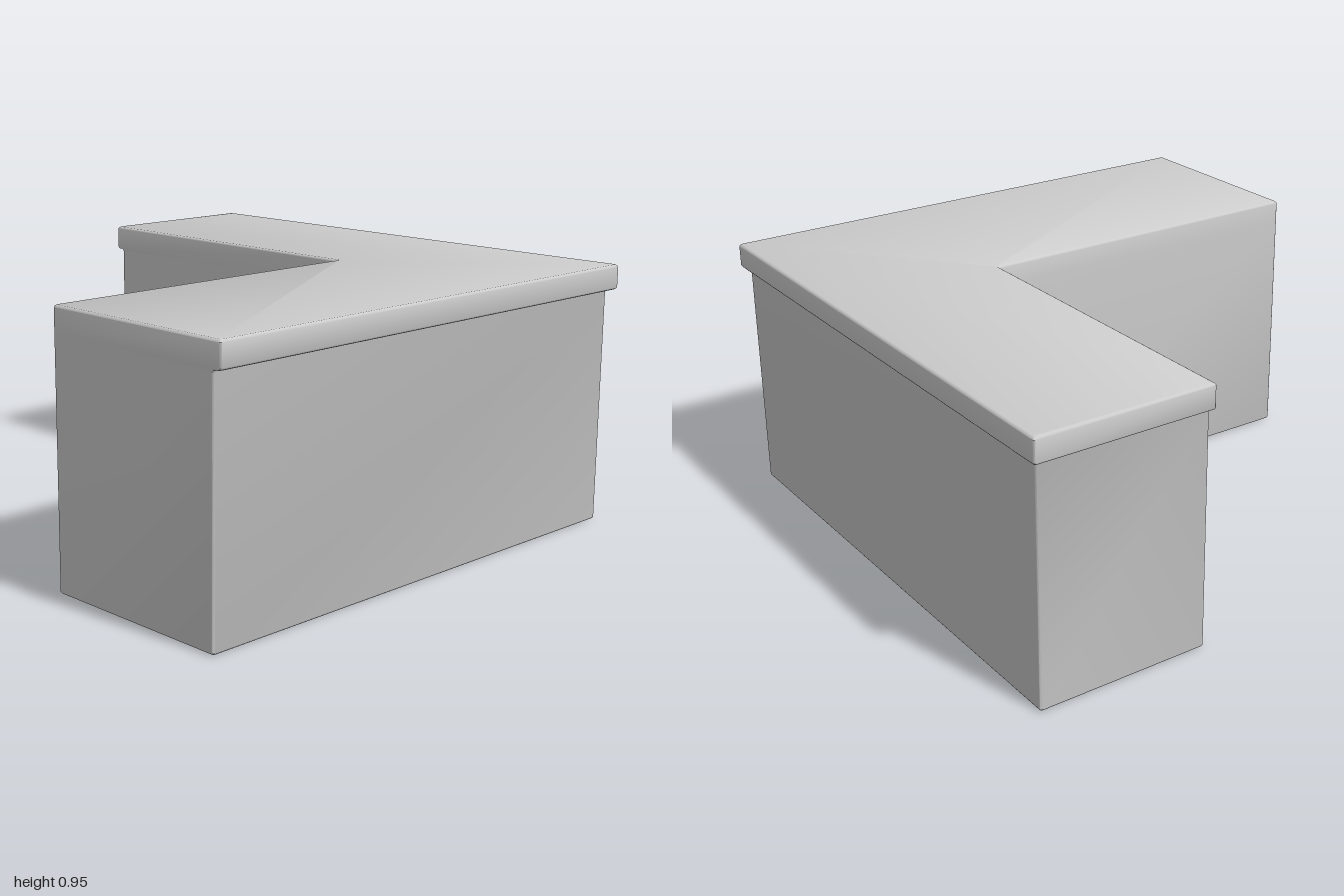
import * as THREE from 'three';
import { toCreasedNormals } from 'three/addons/utils/BufferGeometryUtils.js';

const LEFT = -0.975, INNER_X = 0.32, INNER_Z = 0.24;
const ROUND = 0.008, STEPS = 3;

// L-shaped outline with slightly rounded corners, counter-clockwise from above
function outline({ xR, zB, zF, s }) {
  const corners = [
    [LEFT + s, zF], [xR, zF], [xR, zB],
    [INNER_X + s, zB], [INNER_X + s, INNER_Z + s], [LEFT + s, INNER_Z + s],
  ].map(([x, z]) => new THREE.Vector2(x, -z));
  const n = corners.length, points = [];
  corners.forEach((p, i) => {
    const toPrev = corners[(i + n - 1) % n].clone().sub(p).normalize();
    const toNext = corners[(i + 1) % n].clone().sub(p).normalize();
    for (let k = 0; k <= STEPS; k++) {
      const t = k / STEPS;
      points.push(p.clone()
        .addScaledVector(toPrev, ROUND * (1 - t) ** 2)
        .addScaledVector(toNext, ROUND * t ** 2));
    }
  });
  return points;
}

// Stack outlines into a closed solid
function stack(levels) {
  const rings = levels.map(outline), n = rings[0].length;
  const positions = [], index = [];
  rings.forEach((ring, l) => ring.forEach((p) => positions.push(p.x, levels[l].y, -p.y)));
  for (let l = 0; l < rings.length - 1; l++) {
    for (let i = 0; i < n; i++) {
      const j = (i + 1) % n;
      const a = l * n + i, b = l * n + j, c = b + n, d = a + n;
      index.push(a, b, c, a, c, d);
    }
  }
  const top = (rings.length - 1) * n;
  for (const [a, b, c] of THREE.ShapeUtils.triangulateShape(rings[0], [])) index.push(c, b, a);
  for (const [a, b, c] of THREE.ShapeUtils.triangulateShape(rings[rings.length - 1], [])) {
    index.push(top + a, top + b, top + c);
  }
  const geometry = new THREE.BufferGeometry();
  geometry.setAttribute('position', new THREE.Float32BufferAttribute(positions, 3));
  geometry.setIndex(index);
  return toCreasedNormals(geometry, 0.6);
}

// Overhanging sides grow by o, flush sides shrink by s
const bodyLevel = (y, o, s) => ({ y, xR: 0.95 + o, zB: -0.967 - o, zF: 0.967 + o, s });
const topLevel = (y, o, s) => ({ y, xR: 0.975 + o, zB: -1 - o, zF: 1 + o, s });

export function createModel() {
  const group = new THREE.Group();
  const material = new THREE.MeshStandardMaterial({ color: 0xcccccc });
  const add = (name, levels) => {
    const mesh = new THREE.Mesh(stack(levels), material);
    mesh.name = name;
    group.add(mesh);
  };

  // Base with a softened bottom edge and a small flare under the top
  add('counterBody', [
    bodyLevel(0, -0.008, 0.008),
    bodyLevel(0.003, -0.003, 0.003),
    bodyLevel(0.008, 0, 0),
    bodyLevel(0.85, 0, 0),
    bodyLevel(0.857, 0.003, 0),
    bodyLevel(0.86, 0.008, 0),
  ]);

  // Slab overhanging the front, outer side and back end, flush elsewhere
  add('counterTop', [
    topLevel(0.86, -0.008, 0),
    topLevel(0.863, -0.003, 0),
    topLevel(0.868, 0, 0),
    topLevel(0.942, 0, 0),
    topLevel(0.947, -0.003, 0.003),
    topLevel(0.95, -0.008, 0.008),
  ]);
  return group;
}
